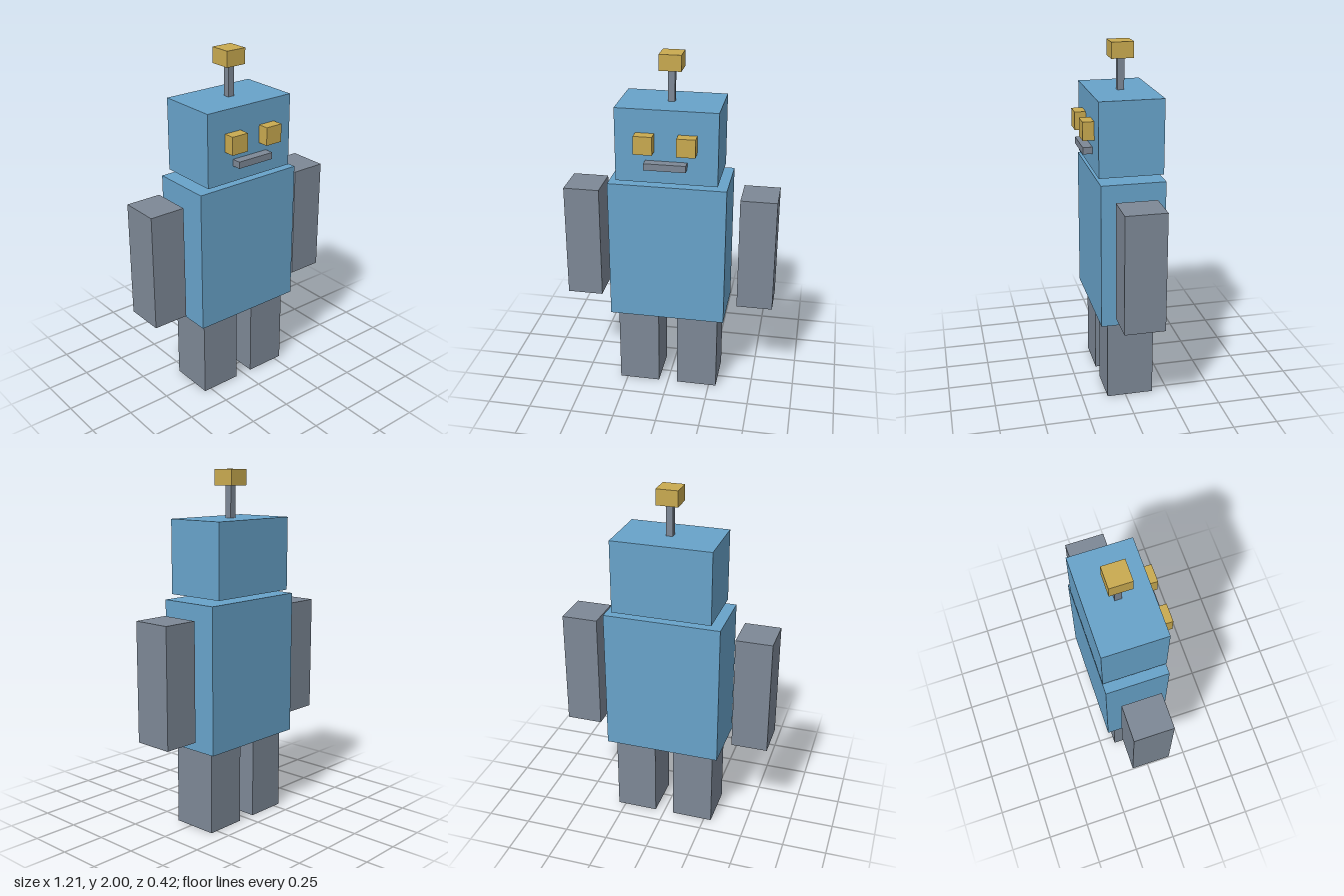
import * as THREE from 'three';

export function createModel() {
  const robot = new THREE.Group();
  robot.name = 'robot';

  const material = (name, color) => {
    const m = new THREE.MeshStandardMaterial({ color });
    m.name = name;
    return m;
  };
  const blue = material('blue paint', 0x68a3ca);
  const grey = material('grey metal', 0x7d8896);
  const gold = material('gold', 0xc9aa50);

  // Box spanning the given [min, max] ranges
  function box(name, mat, [x0, x1], [y0, y1], [z0, z1]) {
    const mesh = new THREE.Mesh(new THREE.BoxGeometry(x1 - x0, y1 - y0, z1 - z0), mat);
    mesh.position.set((x0 + x1) / 2, (y0 + y1) / 2, (z0 + z1) / 2);
    mesh.name = name;
    robot.add(mesh);
  }
  // Matching boxes on the left (+x) and right (-x)
  function pair(name, mat, [x0, x1], y, z) {
    box('left' + name, mat, [x0, x1], y, z);
    box('right' + name, mat, [-x1, -x0], y, z);
  }

  // Torso and the head floating just above it
  box('torso', blue, [-0.332, 0.332], [0.475, 1.297], [-0.21, 0.147]);
  box('head', blue, [-0.282, 0.282], [1.322, 1.735], [-0.21, 0.147]);

  // Limbs
  pair('Arm', grey, [0.4, 0.605], [0.555, 1.222], [-0.145, 0.082]);
  pair('Leg', grey, [0.055, 0.293], [0, 0.475], [-0.16, 0.105]);

  // Face
  pair('Eye', gold, [0.065, 0.168], [1.502, 1.604], [0.108, 0.21]);
  box('mouth', grey, [-0.115, 0.115], [1.412, 1.45], [0.12, 0.2]);

  // Antenna
  box('antennaStem', grey, [-0.019, 0.019], [1.735, 1.912], [-0.051, -0.013]);
  box('antennaTip', gold, [-0.061, 0.061], [1.912, 2], [-0.094, 0.03]);

  return robot;
}
